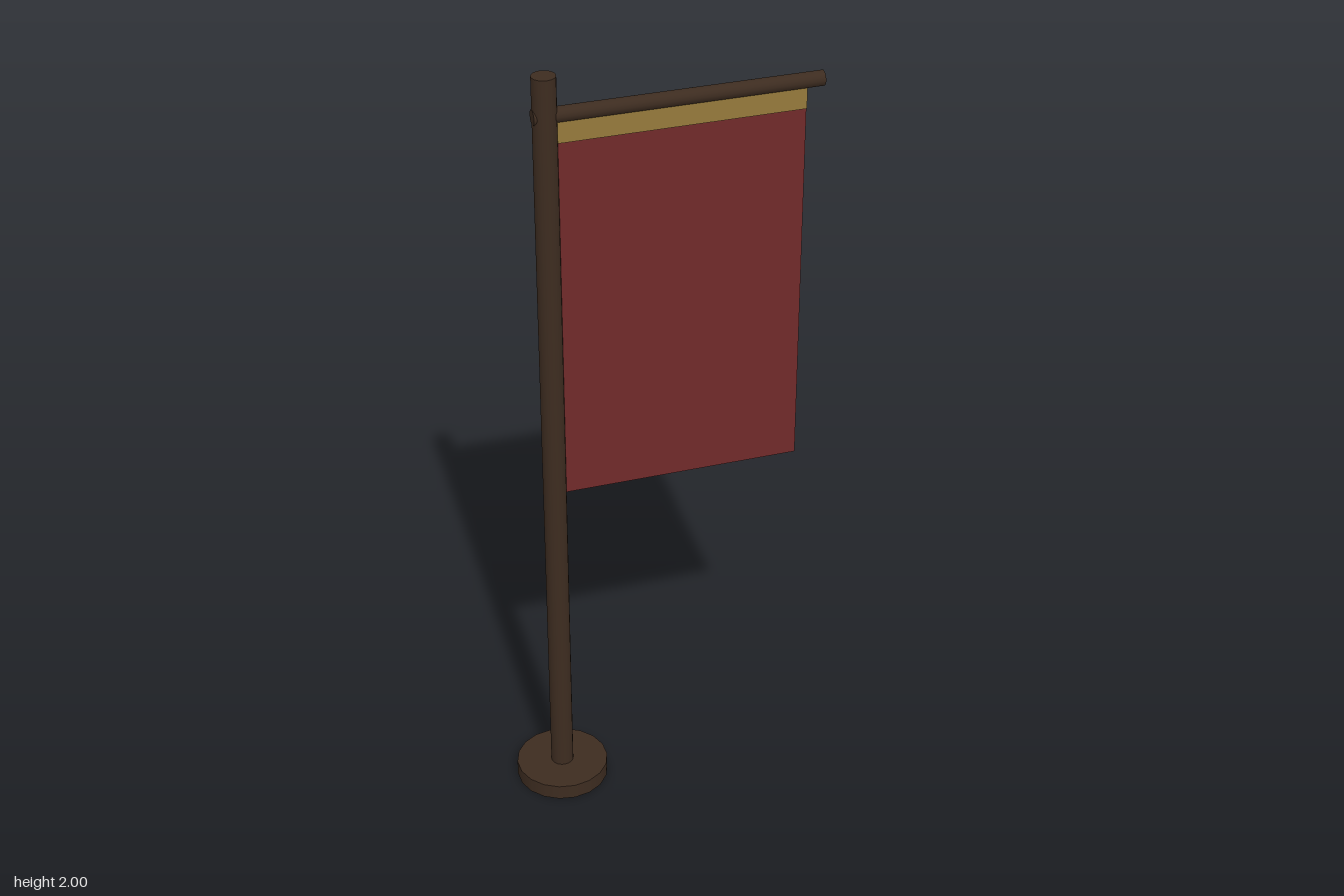
import * as THREE from 'three';

const POLE_X = -0.277;

export function createModel() {
  const group = new THREE.Group();
  const wood = new THREE.MeshStandardMaterial({ color: 0x3d2c20 });
  const cloth = new THREE.MeshStandardMaterial({ color: 0x702a2a });
  const gold = new THREE.MeshStandardMaterial({ color: 0x967a3c });

  function add(name, geometry, material, x, y) {
    const mesh = new THREE.Mesh(geometry, material);
    mesh.name = name;
    mesh.position.set(x, y, 0);
    group.add(mesh);
    return mesh;
  }

  // Round foot and upright pole
  add('base', new THREE.CylinderGeometry(0.119, 0.119, 0.04, 18), wood, POLE_X, 0.02);
  add('pole', new THREE.CylinderGeometry(0.029, 0.029, 1.98, 18), wood, POLE_X, 1.01);

  // Horizontal arm carrying the cloth
  const arm = add('crossbar', new THREE.CylinderGeometry(0.019, 0.019, 0.698, 14), wood, 0.043, 1.902);
  arm.rotation.z = Math.PI / 2;

  // Hanging cloth with a thicker gold band along its top
  add('bannerCloth', new THREE.BoxGeometry(0.6, 1.005, 0.012), cloth, 0.05, 1.3875);
  add('topBand', new THREE.BoxGeometry(0.6, 0.056, 0.02), gold, 0.05, 1.862);

  return group;
}
